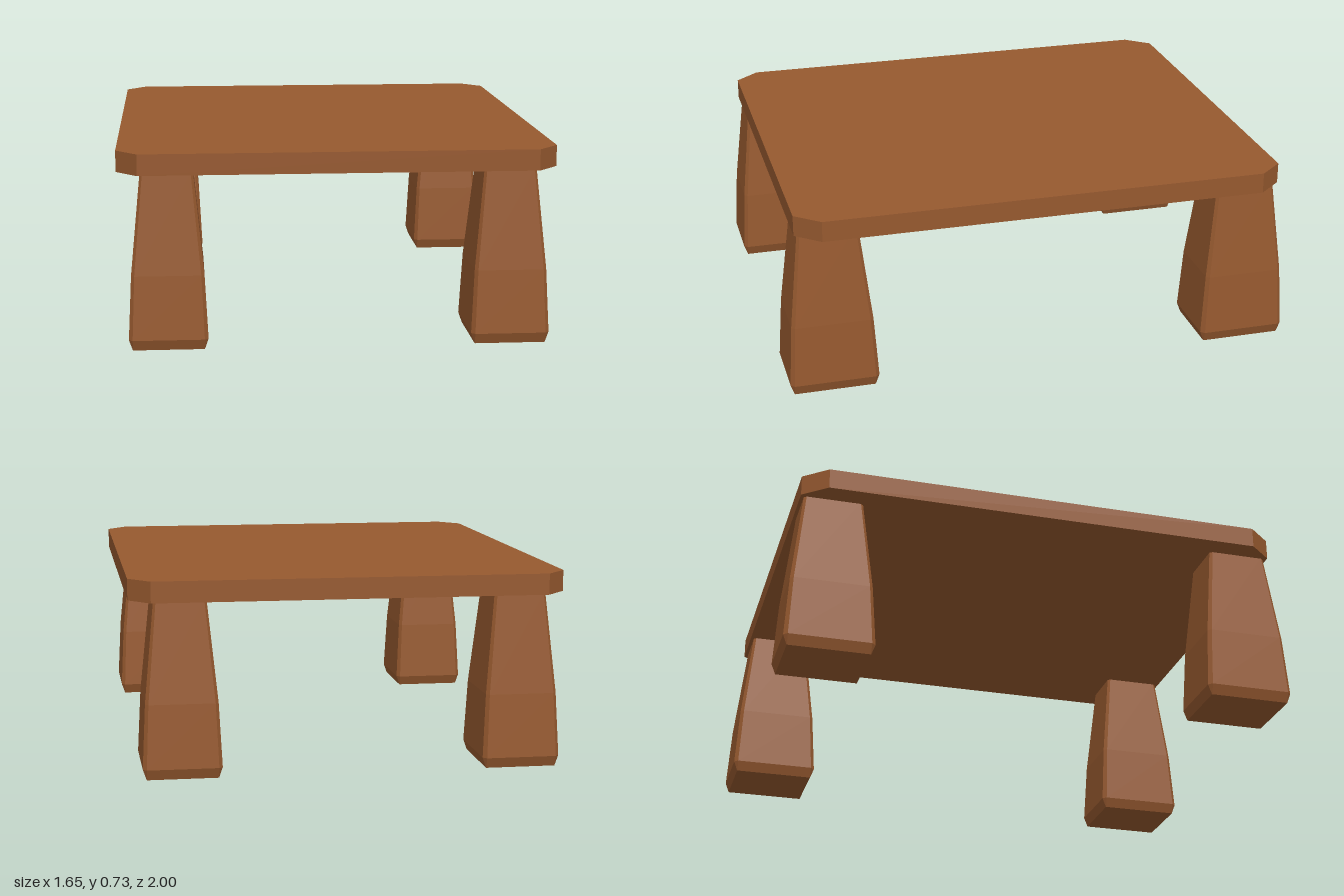
import * as THREE from 'three';

const wood = new THREE.MeshStandardMaterial({ color: 0x96592f, flatShading: true });

// Rectangle with cut corners, counter-clockwise in the x / -z plane
function cutRect(hx, hz, cx, cz) {
  return [
    [hx, hz - cz], [hx - cx, hz], [cx - hx, hz], [-hx, hz - cz],
    [-hx, cz - hz], [cx - hx, -hz], [hx - cx, -hz], [hx, cz - hz],
  ];
}

// Skins a stack of cut-corner sections [y, halfX, halfZ, cutX, cutZ] and caps both ends
function loft(sections) {
  const rings = sections.map(([y, ...r]) => cutRect(...r).map(([x, z]) => [x, y, -z]));
  const pos = [];
  const tri = (a, b, c) => pos.push(...a, ...b, ...c);
  for (let s = 0; s < rings.length - 1; s++) {
    const lo = rings[s], hi = rings[s + 1];
    for (let i = 0; i < 8; i++) {
      const j = (i + 1) % 8;
      tri(lo[i], lo[j], hi[j]);
      tri(lo[i], hi[j], hi[i]);
    }
  }
  const bottom = rings[0], top = rings[rings.length - 1];
  for (let i = 1; i < 7; i++) {
    tri(bottom[0], bottom[i + 1], bottom[i]);
    tri(top[0], top[i], top[i + 1]);
  }
  const geo = new THREE.BufferGeometry();
  geo.setAttribute('position', new THREE.Float32BufferAttribute(pos, 3));
  geo.computeVertexNormals();
  return geo;
}

export function createModel() {
  const table = new THREE.Group();
  table.name = 'table';

  // Slab with clipped corners
  const top = new THREE.Mesh(loft([
    [0.65, 0.825, 0.957, 0.08, 0.094],
    [0.73, 0.825, 0.957, 0.08, 0.094],
  ]), wood);
  top.name = 'tableTop';
  table.add(top);

  // Tapered legs with bevelled edges and a tucked-in foot
  const legGeo = loft([
    [0, 0.133, 0.157, 0.001, 0.001],
    [0.04, 0.147, 0.172, 0.014, 0.015],
    [0.28, 0.135, 0.157, 0.012, 0.013],
    [0.655, 0.098, 0.115, 0.009, 0.01],
  ]);
  for (const [sz, end] of [[1, 'front'], [-1, 'back']]) {
    for (const [sx, side] of [[1, 'Left'], [-1, 'Right']]) {
      const leg = new THREE.Mesh(legGeo, wood);
      leg.name = `${end}${side}Leg`;
      leg.position.set(sx * 0.638, 0, sz * 0.828);
      table.add(leg);
    }
  }
  return table;
}
